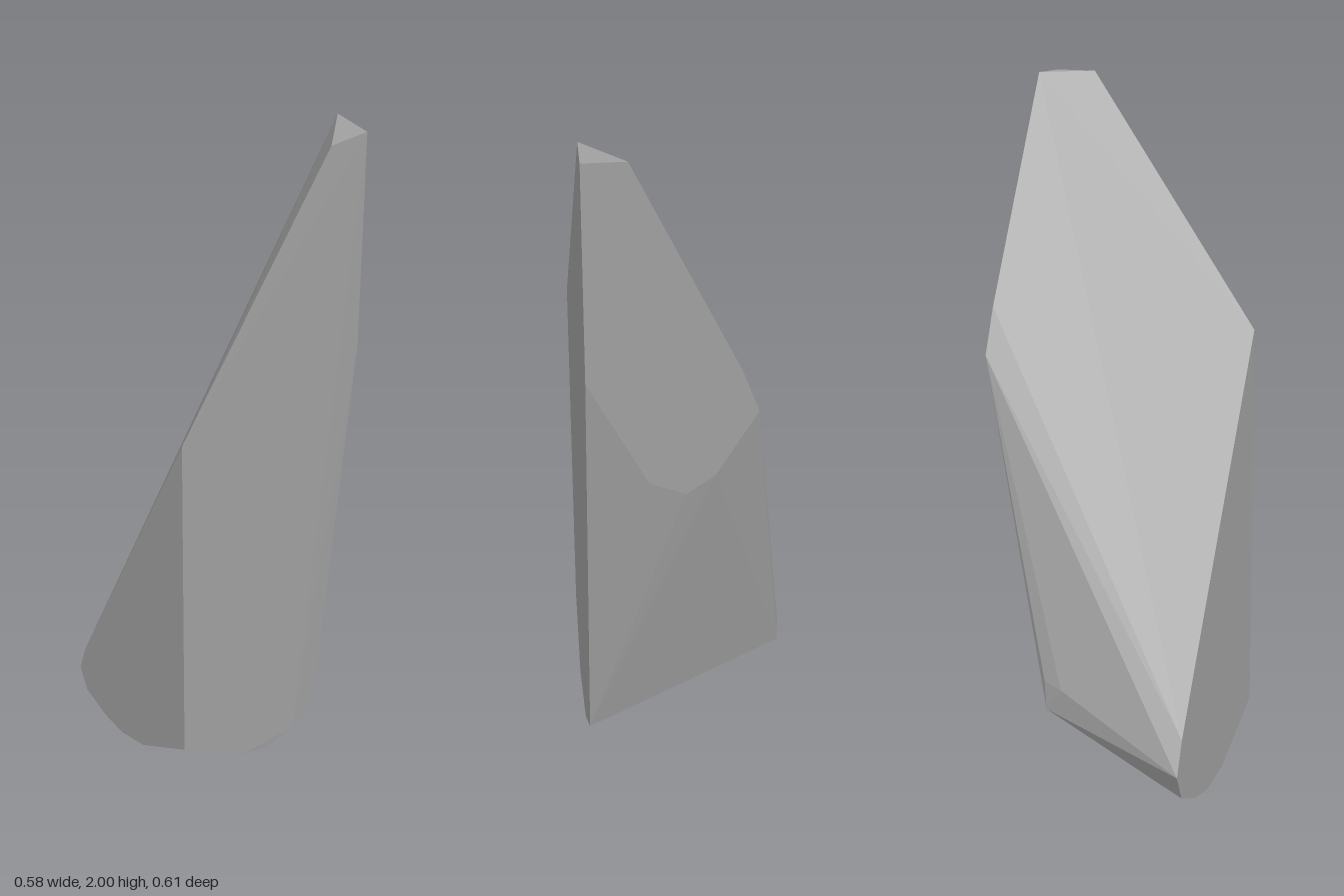
import * as THREE from 'three';
import { ConvexGeometry } from 'three/addons/geometries/ConvexGeometry.js';

const V = (x, y, z) => new THREE.Vector3(x, y, z);

export function createModel() {
  const group = new THREE.Group();
  group.name = 'rockShard';

  const stone = new THREE.MeshStandardMaterial({ color: 0xa0a0a0, flatShading: true });
  stone.name = 'grey stone';

  const F = 0.305, B = -0.305; // flat front and back planes

  // small flat tip
  const tip = [V(0.148, 2, B), V(0.268, 2, B), V(0.268, 2, -0.187)];

  // outline of the front face
  const front = [
    [0.29, 1.28], [0.29, 0.18], [0.08, 0.035], [-0.03, 0.002],
    [-0.12, 0.008], [-0.215, 0.04], [-0.248, 0.11], [-0.215, 0.21],
  ].map(([x, y]) => V(x, y, F));

  // lower outline of the back face
  const back = [
    [0.268, 1.35], [0.1, 1.02], [0.0, 0.98], [-0.08, 1.04], [-0.195, 1.24], [-0.148, 1.37],
  ].map(([x, y]) => V(x, y, B));

  // bulge on the narrow side
  const bulge = [V(-0.29, 0.35, -0.08), V(-0.29, 0.27, -0.075), V(-0.29, 0.33, -0.03)];

  // rounded foot of the broad side
  const foot = [
    V(0.275, 0.06, -0.18), V(0.284, 0.03, -0.1), V(0.27, 0.003, 0.01),
    V(0.285, 0.012, 0), V(0.29, 0.04, 0.1),
  ];

  const shard = new THREE.Mesh(
    new ConvexGeometry([...tip, ...front, ...back, ...bulge, ...foot]), stone);
  shard.name = 'shard';
  // rest exactly on the ground
  shard.geometry.computeBoundingBox();
  shard.geometry.translate(0, -shard.geometry.boundingBox.min.y, 0);
  group.add(shard);
  return group;
}
